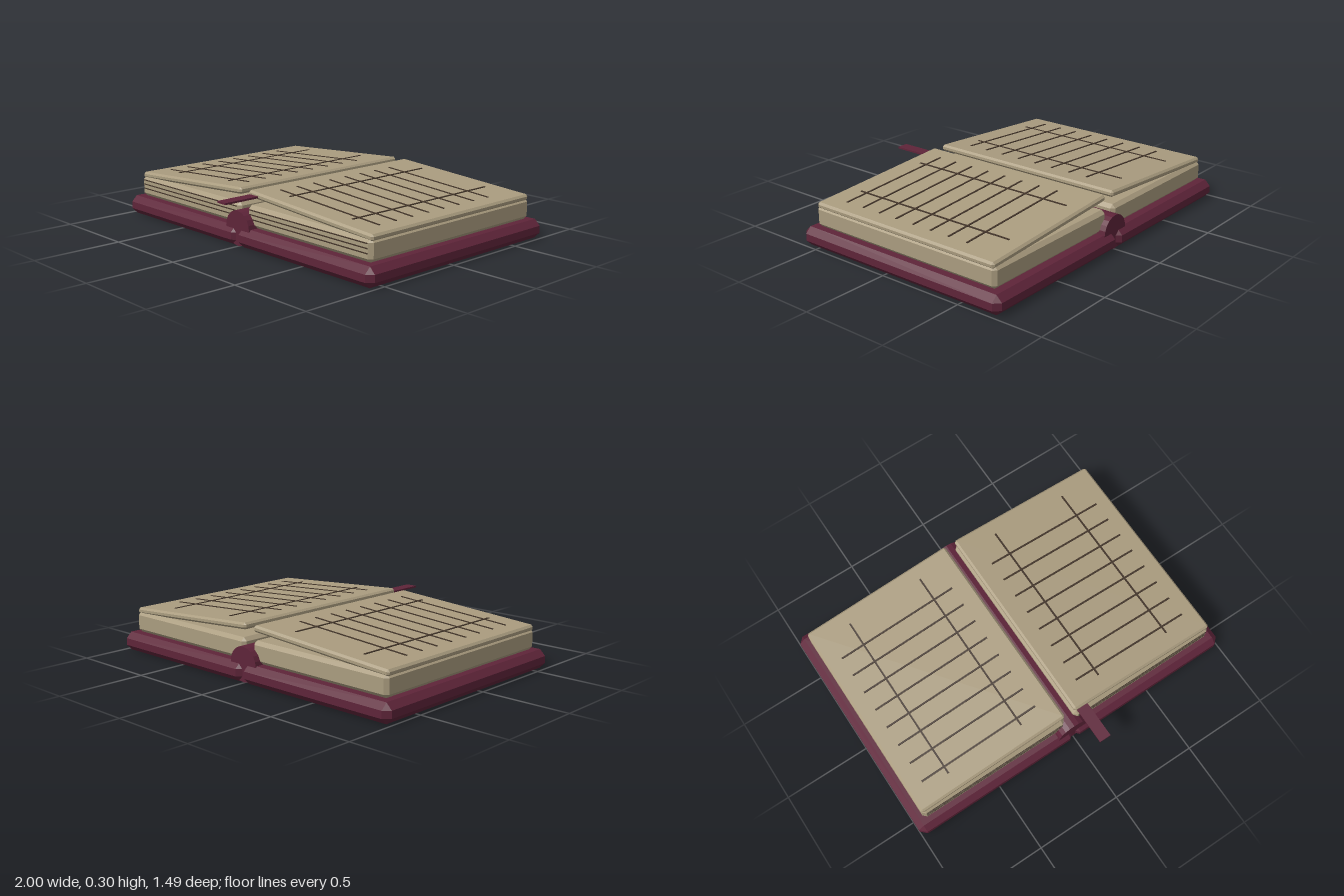
import * as THREE from 'three';
import { ConvexGeometry } from 'three/addons/geometries/ConvexGeometry.js';

const mat = (name, color) => {
  const m = new THREE.MeshStandardMaterial({ color });
  m.name = name;
  return m;
};

// Box with every edge and corner cut by a chamfer b
function chamferBox(w, h, d, b) {
  const pts = [], x = w / 2, y = h / 2, z = d / 2;
  for (const i of [-1, 1]) for (const j of [-1, 1]) for (const k of [-1, 1]) {
    pts.push(
      new THREE.Vector3(i * x, j * (y - b), k * (z - b)),
      new THREE.Vector3(i * (x - b), j * y, k * (z - b)),
      new THREE.Vector3(i * (x - b), j * (y - b), k * z));
  }
  return new ConvexGeometry(pts);
}

export function createModel() {
  const book = new THREE.Group();
  book.name = 'openBook';
  const leather = mat('burgundy leather', 0x5e2439);
  const paper = mat('aged paper', 0xaa9c7f);
  const ink = mat('brown ink', 0x43352a);

  const add = (parent, name, geo, material, x, y, z) => {
    const mesh = new THREE.Mesh(geo, material);
    mesh.name = name;
    mesh.position.set(x, y, z);
    parent.add(mesh);
    return mesh;
  };

  const coverGeo = chamferBox(1, 0.106, 1.345, 0.033);
  const blockGeo = chamferBox(0.915, 0.12, 1.225, 0.02);
  const sheetGeo = chamferBox(0.915, 0.036, 1.205, 0.011);
  const edgeGeo = new THREE.BoxGeometry(0.87, 0.006, 0.008);
  const ruleGeo = new THREE.BoxGeometry(0.725, 0.007, 0.01);
  const marginGeo = new THREE.BoxGeometry(0.01, 0.007, 1.02);

  for (const s of [1, -1]) {
    const side = s > 0 ? 'left' : 'right';
    add(book, side + 'Cover', coverGeo, leather, s * 0.5, 0.053, -0.0725);
    add(book, side + 'PageBlock', blockGeo, paper, s * 0.4875, 0.166, -0.0725);

    // Dark gaps between pages on the front edge
    for (const y of [0.153, 0.178, 0.203]) {
      add(book, side + 'PageEdgeLine', edgeGeo, ink, s * 0.4875, y, 0.538);
    }

    // Raised top sheet, rising towards the spine
    const sheet = new THREE.Group();
    sheet.name = side + 'Sheet';
    sheet.position.set(s * 0.4875, 0.2575, -0.0725);
    sheet.rotation.z = -s * 0.066;
    book.add(sheet);
    add(sheet, side + 'SheetPaper', sheetGeo, paper, 0, 0, 0);
    for (let i = 0; i < 8; i++) {
      add(sheet, side + 'RuledLine', ruleGeo, ink, s * 0.006, 0.018, -0.3635 + i * 0.1182);
    }
    for (const x of [-0.236, 0.227]) {
      add(sheet, side + 'MarginLine', marginGeo, ink, s * x, 0.018, -0.0025);
    }
  }

  // Round spine along the middle
  const spine = add(book, 'spine', new THREE.CylinderGeometry(0.096, 0.096, 1.3, 20).toNonIndexed(), leather, 0, 0.099, -0.07);
  spine.geometry.computeVertexNormals();
  spine.rotation.x = Math.PI / 2;

  // Ribbon bookmark coming out from inside the sheet
  add(book, 'ribbonBookmark', new THREE.BoxGeometry(0.068, 0.01, 0.4), leather, 0.08, 0.279, 0.545);
  return book;
}
